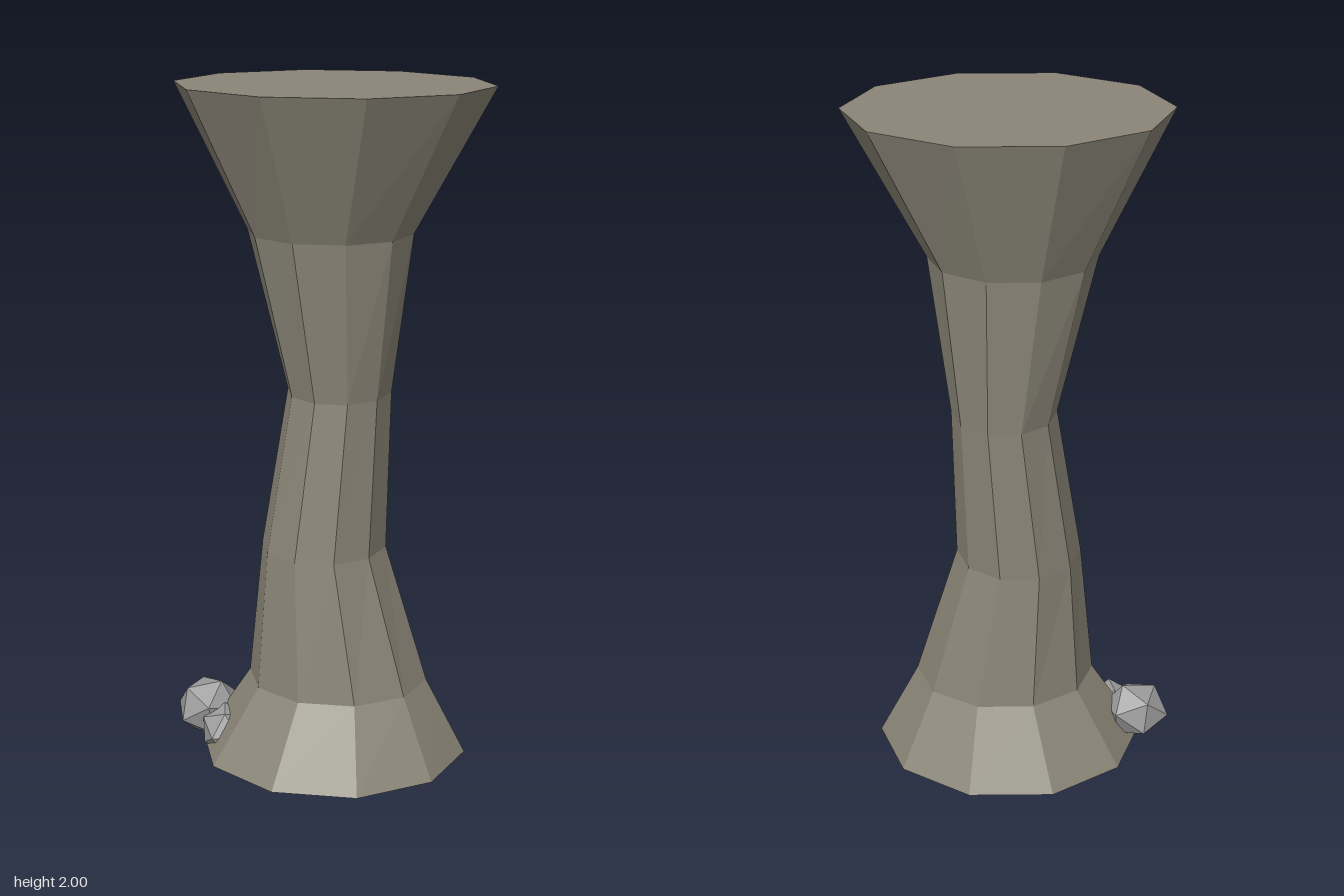
import * as THREE from 'three';

// Column rings from the ground up: y, centre x, centre z, radius x, radius z
const RINGS = [
  [0.035, 0.015, 0, 0.397, 0.363],
  [0.26, 0.03, 0, 0.265, 0.231],
  [0.67, -0.012, -0.006, 0.182, 0.187],
  [1.13, 0.03, -0.027, 0.15, 0.166],
  [1.59, 0.005, -0.015, 0.235, 0.21],
  [2.0, 0.017, 0, 0.447, 0.363],
];

// Base rocks: x, y, z, radius, turn
const ROCKS = [
  [-0.37, 0.118, -0.025, 0.1, 0.3],
  [-0.3, 0.085, 0.06, 0.078, 1.1],
  [-0.12, 0.085, -0.06, 0.088, 0.7],
  [-0.06, 0.085, 0.1, 0.088, 2.0],
  [0.1, 0.09, 0.08, 0.085, 1.6],
];

function makeColumn(material) {
  const last = RINGS.length - 1;
  const geometry = new THREE.CylinderGeometry(1, 1, 1, 10, last, false, Math.PI / 2);
  const p = geometry.attributes.position;
  for (let i = 0; i < p.count; i++) {
    const [y, cx, cz, rx, rz] = RINGS[Math.round((p.getY(i) + 0.5) * last)];
    p.setXYZ(i, cx + p.getX(i) * rx, y, cz + p.getZ(i) * rz);
  }
  const flat = geometry.toNonIndexed();
  flat.computeVertexNormals();
  const mesh = new THREE.Mesh(flat, material);
  mesh.name = 'stoneColumn';
  return mesh;
}

export function createModel() {
  const stone = new THREE.MeshStandardMaterial({ color: 0x8a8577, flatShading: true });
  stone.name = 'warm grey stone';
  const rubble = new THREE.MeshStandardMaterial({ color: 0x9c9c9c, flatShading: true });
  rubble.name = 'light grey rock';

  const model = new THREE.Group();
  model.name = 'rockPillar';
  model.add(makeColumn(stone));

  // Loose rocks half buried in the foot of the column
  ROCKS.forEach(([x, y, z, r, turn], i) => {
    const rock = new THREE.Mesh(new THREE.IcosahedronGeometry(r, 0), rubble);
    rock.position.set(x, y, z);
    rock.scale.y = 0.9;
    rock.rotation.set(turn * 0.6, turn, turn * 0.4);
    rock.name = 'baseRock' + (i + 1);
    model.add(rock);
  });
  return model;
}
